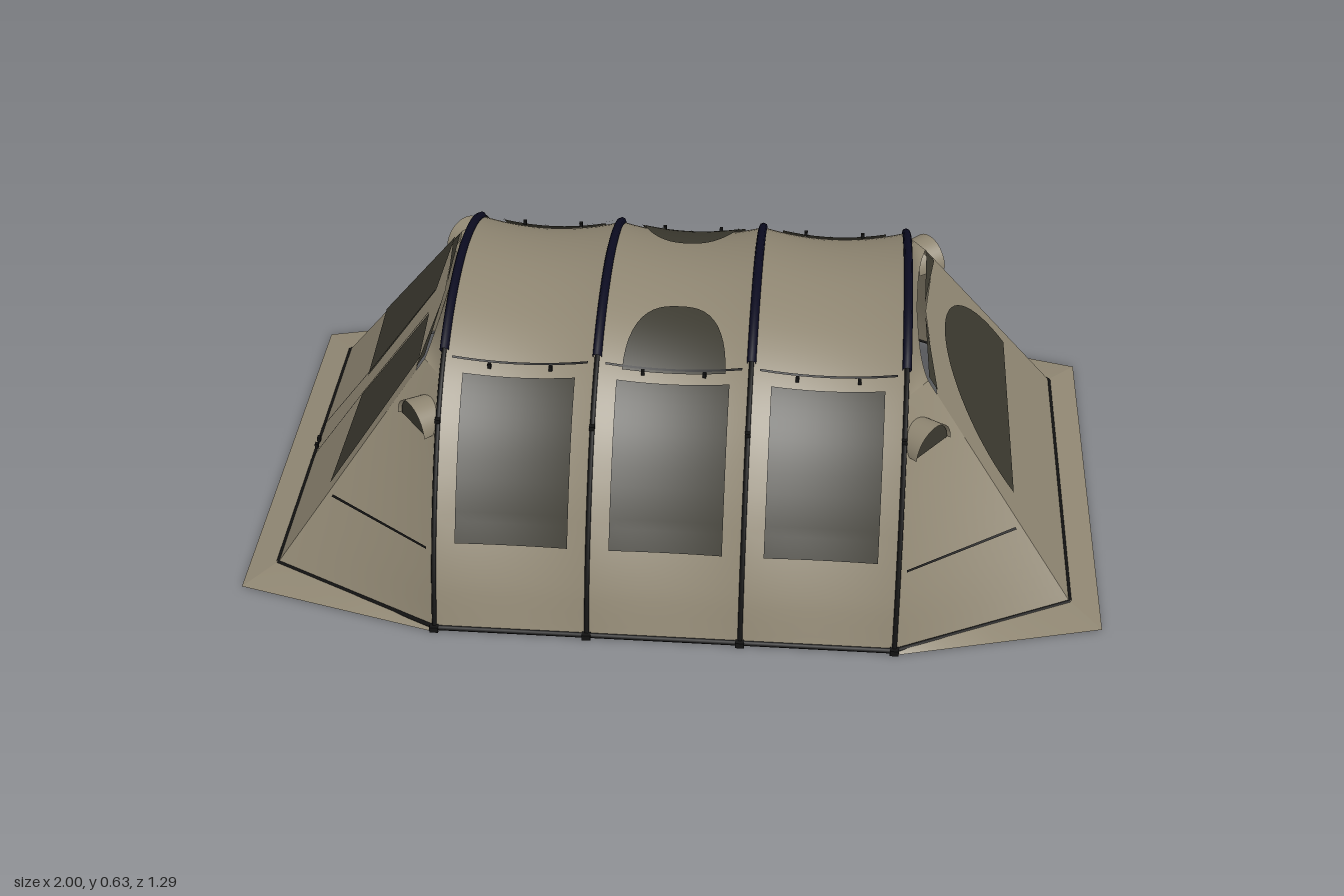
import * as THREE from 'three';
import { ParametricGeometry } from 'three/addons/geometries/ParametricGeometry.js';

const V = (x, y, z) => new THREE.Vector3(x, y, z);
const lerp = THREE.MathUtils.lerp;
const mat = (name, color) => {
  const m = new THREE.MeshStandardMaterial({ color, side: THREE.DoubleSide });
  m.name = name;
  return m;
};

export function createModel() {
  const model = new THREE.Group();
  model.name = 'tunnelTent';
  const cloth = mat('canvas', 0x8f8672);
  const mesh = mat('darkMesh', 0x3b392f);
  const pole = mat('navyPole', 0x0b0b20);
  const trim = mat('blackTrim', 0x121212);

  const add = (name, geo, material, pos) => {
    const m = new THREE.Mesh(geo, material);
    m.name = name;
    if (pos) m.position.copy(pos);
    model.add(m);
    return m;
  };
  // Sheet from a rule f(u, v) -> point, turned so its front faces outwards
  const sheet = (name, material, f, nu, nv) => {
    const c = f(0.5, 0.5);
    const n = f(0.51, 0.5).sub(c).cross(f(0.5, 0.51).sub(c));
    const flip = n.dot(V(c.x * 0.6, c.y - 0.05, c.z)) < 0;
    return add(name, new ParametricGeometry((u, v, t) => t.copy(f(flip ? 1 - u : u, v)), nu, nv), material);
  };
  const rod = (name, a, b, r, material) =>
    add(name, new THREE.TubeGeometry(new THREE.LineCurve3(a, b), 1, r, 6), material);

  // Hoop profile, s = -1..1 from one foot over the apex to the other
  const half = [[0.115, 0.608], [0.225, 0.575], [0.325, 0.52], [0.415, 0.44],
    [0.49, 0.34], [0.55, 0.235], [0.6, 0.12], [0.635, 0]];
  const hoopCurve = new THREE.CatmullRomCurve3([
    ...half.slice().reverse().map(([z, y]) => V(0, y, -z)),
    V(0, 0.62, 0),
    ...half.map(([z, y]) => V(0, y, z))]);
  const arch = (s) => hoopCurve.getPoint((s + 1) / 2);
  const sAt = (y) => {
    let lo = 0, hi = 1;
    for (let i = 0; i < 24; i++) {
      const m = (lo + hi) / 2;
      if (arch(m).y > y) lo = m; else hi = m;
    }
    return lo;
  };

  // Canopy bays sag between the hoops
  const hoopsX = [-0.525, -0.175, 0.175, 0.525];
  const canopy = (xc, dx, s, off = 0) => {
    const p = arch(s);
    const k = 1 - (dx / 0.175) ** 2;
    const out = V(0, p.y, p.z).normalize().multiplyScalar(off);
    p.z *= 1 - 0.03 * k * Math.min(1, p.y / 0.25);
    p.y *= 1 - 0.04 * k;
    p.x = xc + dx;
    return p.add(out);
  };
  const sTop = sAt(0.515), sLow = sAt(0.204), sHem = sAt(0.536);
  for (const xc of [-0.35, 0, 0.35]) {
    sheet('canopyBay', cloth, (u, v) => canopy(xc, lerp(-0.175, 0.175, u), lerp(-1, 1, v)), 12, 64);
    for (const side of [-1, 1]) {
      sheet('sideWindow', mesh, (u, v) =>
        canopy(xc, lerp(-0.128, 0.128, u), side * lerp(sTop, sLow, v), 0.006), 10, 16);
      sheet('hemSeam', trim, (u, v) =>
        canopy(xc, lerp(-0.155, 0.155, u), side * lerp(sHem, sHem + 0.006, v), 0.007), 10, 1);
      for (const dx of [-0.07, 0.07])
        add('toggle', new THREE.BoxGeometry(0.008, 0.012, 0.008), trim, canopy(xc, dx, side * (sHem + 0.015), 0.008));
      rod('baseHem', V(xc - 0.175, 0.008, side * 0.635), V(xc + 0.175, 0.008, side * 0.635), 0.006, trim);
    }
  }
  // Rounded roof windows of the middle bay
  const sMoon = sAt(0.53), moonRise = sMoon - sAt(0.603);
  for (const side of [-1, 1])
    sheet('roofWindow', mesh, (u, v) => {
      const a = -Math.cos(u * Math.PI);
      const rise = moonRise * Math.pow(Math.max(0, 1 - Math.abs(a) ** 2.6), 0.5);
      return canopy(0, a * 0.117, side * (sMoon - rise * v), 0.006);
    }, 24, 10);

  // Hoops: slim pole with a thicker sleeve over the top, and feet
  const hoopPath = (s0, n) => new THREE.CatmullRomCurve3(
    Array.from({ length: n + 1 }, (_, i) => arch(lerp(-s0, s0, i / n))));
  for (const x of hoopsX) {
    add('hoopPole', new THREE.TubeGeometry(hoopPath(1, 32), 72, 0.0055, 6), trim, V(x, 0, 0));
    add('hoopSleeve', new THREE.TubeGeometry(hoopPath(sAt(0.542), 16), 40, 0.0105, 8), pole, V(x, 0.001, 0));
    for (const side of [-1, 1]) {
      add('hoopFoot', new THREE.BoxGeometry(0.02, 0.014, 0.016), trim, V(x, 0.008, side * 0.637));
      const clip = arch(side * sAt(0.44));
      add('hoopClip', new THREE.BoxGeometry(0.012, 0.01, 0.012), trim, V(x, clip.y, clip.z + side * 0.006));
    }
  }

  // Sloping ends lie on one plane; edgeW is the half width at height y
  const yB = 0.012, yT = 0.505;
  const endX = (y) => 0.93 - 0.72 * (y - yB);
  const edgeW = (y) => lerp(0.44, 0.275, (y - yB) / (yT - yB));
  const panelTop = (a) => 0.476 + 0.034 * (1 - Math.abs(a));
  const hoodY = (a) => 0.516 - 0.011 * Math.abs(a);
  const sHood = sAt(yT);
  // Flat plate on an end plane, drawn in (z, y)
  const endPlate = (name, sx, points, material, off = 0.006) => {
    const geo = new THREE.ShapeGeometry(new THREE.Shape(points.map(([z, y]) => new THREE.Vector2(-sx * z, y))));
    const p = geo.attributes.position;
    for (let i = 0; i < p.count; i++) {
      const a = p.getX(i), y = p.getY(i);
      p.setXYZ(i, sx * (endX(y) + off), y + off * 0.7, -sx * a);
    }
    geo.computeVertexNormals();
    // the shape is kept counter-clockwise, so the plate faces outwards
    return add(name, geo, material);
  };

  for (const sx of [-1, 1]) {
    sheet('endPanel', cloth, (u, v) => {
      const a = lerp(-1, 1, u), y = lerp(yB, panelTop(a), v);
      return V(sx * endX(y), y, a * edgeW(y));
    }, 12, 6);
    const gap = sx > 0 ? 0.016 : 0.004;
    sheet('endHood', cloth, (u, v) => {
      const a = lerp(-1, 1, u), p = arch(a * sHood);
      const edge = V(endX(hoodY(a)) - gap * (1 - a ** 4), hoodY(a), a * 0.275);
      return V(sx * lerp(0.525, edge.x, v), lerp(p.y, edge.y, v), lerp(p.z, edge.z, v));
    }, 32, 4);
    rod('skirtEdge', V(sx * 0.93, 0.012, -0.44), V(sx * 0.93, 0.012, 0.44), 0.005, trim);
    sheet('endSkirt', cloth, (u, v) =>
      V(sx * lerp(0.93, 1, v), lerp(0.014, 0.001, v), lerp(-1, 1, u) * lerp(0.44, 0.52, v)), 4, 1);

    for (const sz of [-1, 1]) {
      // Side wing between the last hoop and the end panel
      const wing = (u, y, off = 0) => {
        const p = arch(sAt(y));
        return V(sx * (lerp(0.525, endX(y), u) + off * 0.6), y + off * 0.4, sz * (lerp(p.z, edgeW(y), u) + off * 0.7));
      };
      sheet('sideWing', cloth, (u, v) => wing(u, lerp(yT, 0.004, v)), 6, 20);
      sheet('wingSeam', trim, (u, v) => wing(lerp(0.06, 0.95, u), lerp(0.182, 0.187, v), 0.004), 6, 1);
      sheet('sideSkirt', cloth, (u, v) => V(
        sx * lerp(0.525, lerp(0.93, 1, v), u), lerp(0.014, 0.001, v),
        sz * lerp(lerp(0.63, 0.642, v), lerp(0.44, 0.52, v), u)), 4, 1);
      rod('skirtEdge', V(sx * 0.525, 0.01, sz * 0.635), V(sx * 0.93, 0.012, sz * 0.44), 0.005, trim);
      endPlate('endVent', sx, [[sz * 0.03, 0.514], [sz * 0.272, 0.476], [sz * 0.262, 0.505]], mesh, 0.002);

      // Half-round vent cowl with a mesh face
      const cowl = new THREE.CylinderGeometry(0.062, 0.055, 0.075, 20, 1, true, Math.PI / 2, Math.PI);
      cowl.rotateX(Math.PI / 2);
      const face = new THREE.CircleGeometry(0.058, 20, 0, Math.PI);
      const at = wing(0.42, 0.405);
      const yaw = Math.atan2(sx * 0.12, sz * 0.095);
      for (const [name, geo, m, out] of [['ventCowl', cowl, cloth, -0.018], ['ventMesh', face, mesh, 0.012]]) {
        const part = add(name, geo, m, V(at.x + Math.sin(yaw) * out, at.y, at.z + Math.cos(yaw) * out));
        part.rotation.y = yaw;
      }
    }
  }

  // Arched window in the left end
  const archWindow = Array.from({ length: 33 }, (_, i) => {
    const t = Math.PI * i / 32;
    return [-0.305 * Math.cos(t), 0.215 + 0.235 * Math.sin(t)];
  });
  endPlate('archedEndWindow', 1, archWindow, mesh);

  // Door with two windows, zips and pulls in the right end
  for (const sz of [-1, 1]) {
    endPlate('doorWindow', -1, [[0.04, 0.215], [0.365, 0.195], [0.262, 0.492], [0.05, 0.473]]
      .map(([z, y]) => [sz * z, y]), mesh);
    endPlate('doorZip', -1, [[0.064, 0.02], [0.068, 0.02], [0.047, 0.22], [0.05, 0.473], [0.046, 0.473], [0.043, 0.22]]
      .map(([z, y]) => [sz * z, y]), trim, 0.008);
    add('zipPull', new THREE.BoxGeometry(0.008, 0.012, 0.012), trim, V(-0.925, 0.035, sz * 0.014));
  }
  return model;
}
